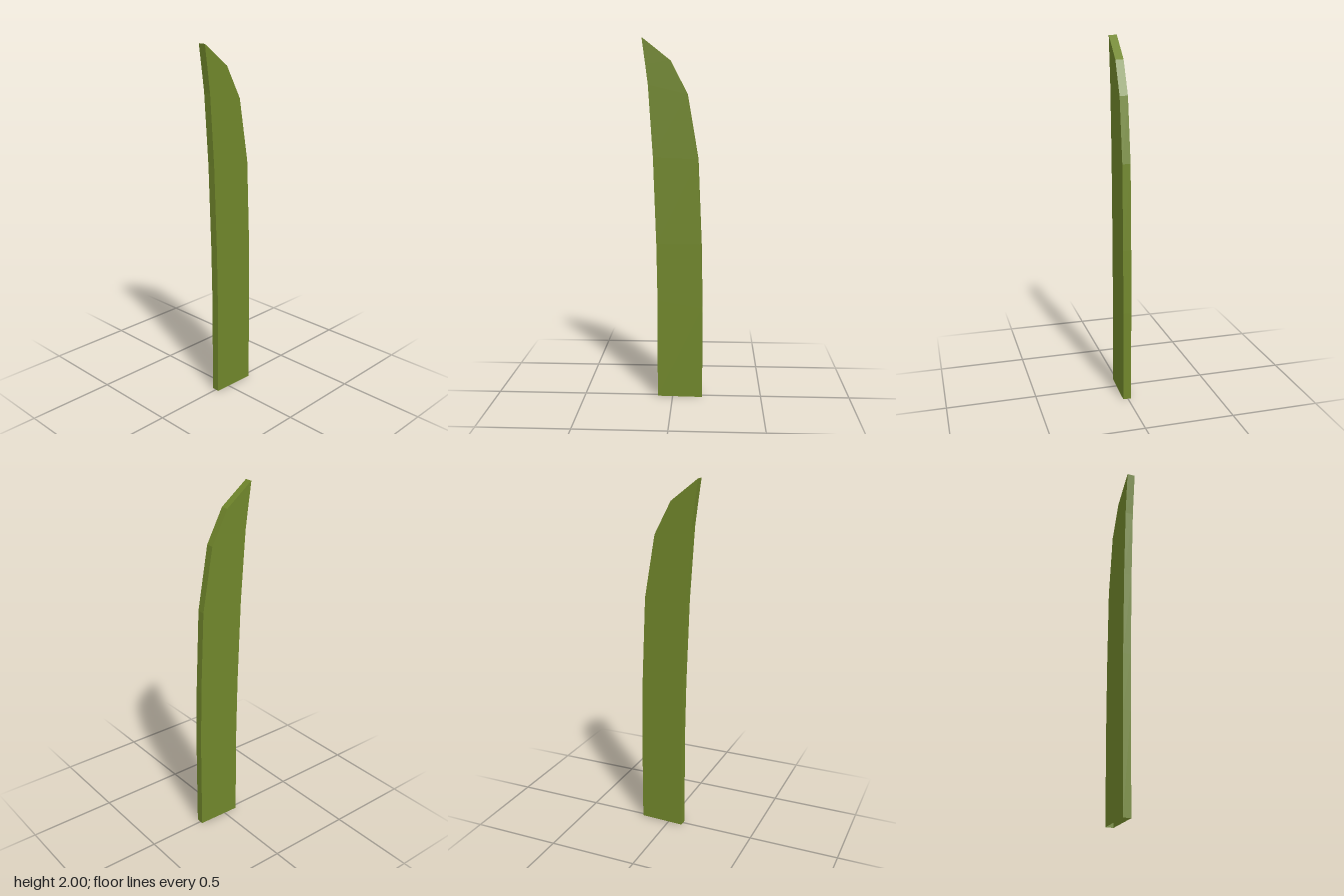
import * as THREE from 'three';

// Levels of the blade: [front z, front y, back z, back y]
const LEVELS = [
  [0.084, 0, -0.167, 0],
  [0.084, 0.56, -0.167, 0.52],
  [0.09, 0.88, -0.16, 0.88],
  [0.107, 1.36, -0.14, 1.35],
  [0.133, 1.75, -0.08, 1.7],
  [0.147, 1.86, 0.014, 1.88],
  [0.166, 2, 0.166, 2],
];
const HALF_THICKNESS = 0.0225;

// Four walls stacked level by level; the foot is left open
function bladeGeometry() {
  const h = HALF_THICKNESS;
  const rings = LEVELS.map(([zf, yf, zb, yb]) => [
    [h, yf, zf], [h, yb, zb], [-h, yb, zb], [-h, yf, zf],
  ]);
  const positions = [];
  for (let i = 0; i < rings.length - 1; i++) {
    const low = rings[i], high = rings[i + 1];
    const atTip = i === rings.length - 2;
    for (let j = 0; j < 4; j++) {
      const k = (j + 1) % 4;
      positions.push(...low[j], ...low[k], ...high[k]);
      // The broad faces close to a point at the tip
      if (!(atTip && j % 2 === 0)) positions.push(...low[j], ...high[k], ...high[j]);
    }
  }
  const geometry = new THREE.BufferGeometry();
  geometry.setAttribute('position', new THREE.Float32BufferAttribute(positions, 3));
  geometry.computeVertexNormals();
  return geometry;
}

export function createModel() {
  const group = new THREE.Group();
  group.name = 'curvedBlade';
  const material = new THREE.MeshStandardMaterial({
    color: 0x70862b, flatShading: true, side: THREE.DoubleSide,
  });
  const blade = new THREE.Mesh(bladeGeometry(), material);
  blade.name = 'blade';
  blade.rotation.y = -0.03; // slight turn about the upright axis
  group.add(blade);
  return group;
}
